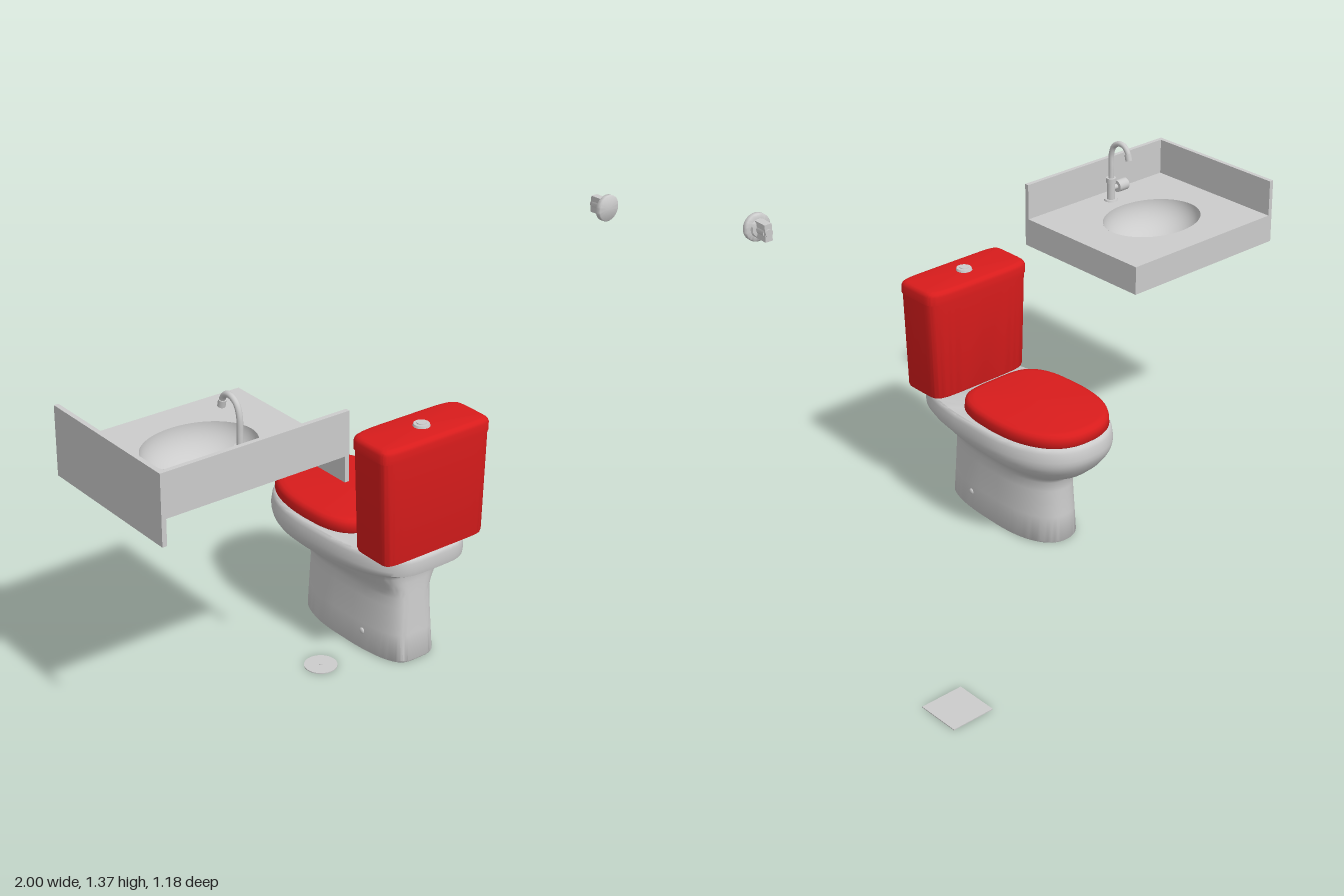
import * as THREE from 'three';
import { toCreasedNormals } from 'three/addons/utils/BufferGeometryUtils.js';

const grey = new THREE.MeshStandardMaterial({ color: 0xcccccc });
const greyThin = new THREE.MeshStandardMaterial({ color: 0xcccccc, side: THREE.DoubleSide });
const red = new THREE.MeshStandardMaterial({ color: 0xd91c1c });

function add(parent, name, geometry, material, x = 0, y = 0, z = 0) {
  const mesh = new THREE.Mesh(geometry, material);
  mesh.name = name;
  mesh.position.set(x, y, z);
  parent.add(mesh);
  return mesh;
}

// Solid lofted through horizontal sections [y, halfWidth, zFront, zBack].
// Each section is a superellipse with its own front and back squareness; the back narrows by taper.
function loft(sections, { mid = 0.4, nFront = 2.3, nBack = 4, taper = 0.15, crease = 0.7, n = 72 }) {
  const pos = [], idx = [];
  const pow = (v, e) => Math.sign(v) * Math.pow(Math.abs(v), 2 / e);
  for (const [y, w, zf, zb] of sections) {
    const zc = zf + (zb - zf) * mid;
    for (let j = 0; j < n; j++) {
      const t = (j / n) * Math.PI * 2, s = Math.sin(t), e = s < 0 ? nFront : nBack;
      const v = Math.abs(s) < 1e-9 ? 0 : pow(s, e);
      const c = Math.abs(Math.cos(t)) < 1e-9 ? 0 : pow(Math.cos(t), e);
      pos.push(w * c * (v > 0 ? 1 - taper * v * v : 1), y, zc + v * (v < 0 ? zc - zf : zb - zc));
    }
  }
  const last = sections.length - 1;
  for (let i = 0; i < last; i++) {
    for (let j = 0; j < n; j++) {
      const a = i * n + j, b = i * n + (j + 1) % n;
      idx.push(a, a + n, b, b, a + n, b + n);
    }
  }
  // Flat caps
  for (const i of [0, last]) {
    const [y, , zf, zb] = sections[i], centre = pos.length / 3;
    pos.push(0, y, zf + (zb - zf) * mid);
    for (let j = 0; j < n; j++) {
      const a = i * n + j, b = i * n + (j + 1) % n;
      if (i === 0) idx.push(centre, a, b); else idx.push(centre, b, a);
    }
  }
  const g = new THREE.BufferGeometry();
  g.setAttribute('position', new THREE.Float32BufferAttribute(pos, 3));
  g.setIndex(idx);
  return toCreasedNormals(g, crease);
}

function createToilet() {
  const g = new THREE.Group();
  g.name = 'toilet';
  g.position.x = 0.033;

  // Pedestal flaring into the bowl and rear shelf
  add(g, 'bowl', loft([
    [0, 0.116, -0.026, 0.507], [0.006, 0.12, -0.03, 0.511], [0.1, 0.116, -0.024, 0.504],
    [0.2, 0.112, -0.017, 0.497], [0.235, 0.113, -0.018, 0.495], [0.25, 0.117, -0.027, 0.494],
    [0.268, 0.129, -0.06, 0.493], [0.29, 0.15, -0.098, 0.492], [0.315, 0.18, -0.126, 0.492],
    [0.335, 0.2, -0.141, 0.497], [0.35, 0.21, -0.15, 0.52], [0.362, 0.217, -0.156, 0.56],
    [0.375, 0.221, -0.16, 0.583], [0.39, 0.222, -0.161, 0.586], [0.42, 0.218, -0.157, 0.586],
    [0.431, 0.214, -0.152, 0.584], [0.436, 0.208, -0.146, 0.578],
  ], { mid: 0.43, nFront: 2.3, nBack: 4.5, taper: 0.2 }), grey);

  // Seat lid
  add(g, 'seatLid', loft([
    [0.436, 0.196, -0.141, 0.35], [0.442, 0.201, -0.146, 0.354], [0.465, 0.2, -0.145, 0.353],
    [0.476, 0.197, -0.141, 0.35], [0.483, 0.188, -0.132, 0.342], [0.486, 0.17, -0.115, 0.325],
  ], { mid: 0.58, nFront: 2.4, nBack: 4.5, taper: 0.16, crease: 0.9 }), red);
  for (const s of [-1, 1]) {
    const hinge = add(g, 'seatHinge', new THREE.CylinderGeometry(0.011, 0.011, 0.03, 16), red, s * 0.085, 0.448, 0.348);
    hinge.rotation.z = Math.PI / 2;
    // Floor fixing cap on each side of the pedestal
    const cap = add(g, 'fixingCap', new THREE.SphereGeometry(0.011, 16, 10), grey, s * 0.111, 0.07, 0.35);
    cap.scale.x = 0.5;
  }

  // Cistern and its lid
  const box = { mid: 0.5, nFront: 6, nBack: 9, taper: 0, crease: 0.6 };
  add(g, 'cistern', loft([
    [0.437, 0.196, 0.414, 0.578], [0.441, 0.201, 0.408, 0.584], [0.45, 0.204, 0.405, 0.586],
    [0.802, 0.216, 0.402, 0.587],
  ], box), red);
  add(g, 'cisternLid', loft([
    [0.802, 0.219, 0.399, 0.589], [0.83, 0.219, 0.399, 0.589], [0.839, 0.216, 0.402, 0.586],
    [0.845, 0.209, 0.409, 0.579], [0.847, 0.2, 0.418, 0.57],
  ], box), red);
  add(g, 'flushButton', new THREE.CylinderGeometry(0.026, 0.029, 0.01, 32), grey, 0, 0.85, 0.497);
  add(g, 'flushButtonCentre', new THREE.CylinderGeometry(0.015, 0.016, 0.004, 24), grey, 0, 0.856, 0.497);
  return g;
}

function createSink() {
  const g = new THREE.Group();
  g.name = 'sink';
  const x0 = -1, x1 = -0.328, z0 = 0.022, z1 = 0.588, t = 0.016;
  const cx = -0.663, cz = 0.288, rx = 0.192, rz = 0.152, top = 0.905;

  // Worktop with an oval opening
  const slab = new THREE.Shape([[x0, z0], [x1, z0], [x1, z1], [x0, z1]].map(p => new THREE.Vector2(...p)));
  slab.holes.push(new THREE.Path().absellipse(cx, cz, rx, rz, 0, Math.PI * 2, true));
  const slabGeo = new THREE.ExtrudeGeometry(slab, { depth: t, bevelEnabled: false, curveSegments: 48 });
  add(g, 'worktop', slabGeo.rotateX(Math.PI / 2), grey, 0, top, 0);

  // Splashbacks above the worktop and aprons below it
  const panel = (name, xa, xb, ya, yb, za, zb) => add(g, name,
    new THREE.BoxGeometry(xb - xa, yb - ya, zb - za), grey, (xa + xb) / 2, (ya + yb) / 2, (za + zb) / 2);
  panel('rearSplash', x0, x1, top, 1.036, z1 - t, z1);
  panel('sideSplash', x0, x0 + t, top, 1.036, z0, z1 - t);
  panel('frontApron', x0, x1, 0.802, top - t, z0, z0 + t);
  panel('sideApron', x0, x0 + t, 0.802, top - t, z0 + t, z1);
  panel('sideApron', x1 - t, x1, 0.802, top - t, z0 + t, z1);

  // Basin and waste
  const basin = new THREE.SphereGeometry(1, 64, 24, 0, Math.PI * 2, Math.PI / 2, Math.PI / 2);
  add(g, 'basin', basin.scale(rx, 0.13, rz), greyThin, cx, top, cz);
  const ring = new THREE.TorusGeometry(0.03, 0.008, 10, 36).rotateX(Math.PI / 2).scale(1, 0.5, 1);
  add(g, 'wasteRing', ring, grey, cx, 0.779, cz);
  add(g, 'wastePlug', new THREE.CylinderGeometry(0.016, 0.016, 0.012, 24), grey, cx, 0.778, cz);
  add(g, 'wasteCollar', new THREE.CylinderGeometry(0.034, 0.034, 0.01, 32), grey, cx, 0.772, cz);
  add(g, 'wasteOutlet', new THREE.CylinderGeometry(0.02, 0.02, 0.016, 24), grey, cx, 0.766, cz);

  // Gooseneck tap with a side handle
  const fx = -0.667, fz = 0.505;
  add(g, 'tapBase', new THREE.CylinderGeometry(0.023, 0.025, 0.006, 32), grey, fx, top + 0.003, fz);
  add(g, 'tapBody', new THREE.CylinderGeometry(0.015, 0.015, 0.07, 28), grey, fx, 0.94, fz);
  add(g, 'tapCollar', new THREE.CylinderGeometry(0.018, 0.018, 0.018, 28), grey, fx, 0.983, fz);
  const path = new THREE.CatmullRomCurve3([
    [0.97, 0.505], [1.03, 0.505], [1.085, 0.504], [1.118, 0.491], [1.134, 0.463], [1.13, 0.437], [1.11, 0.42], [1.095, 0.416],
  ].map(([y, z]) => new THREE.Vector3(fx, y, z)));
  add(g, 'tapSpout', new THREE.TubeGeometry(path, 48, 0.01, 16), grey);
  const nozzle = add(g, 'tapNozzle', new THREE.CylinderGeometry(0.0125, 0.0125, 0.024, 24), grey, fx, 1.096, 0.417);
  nozzle.rotation.x = 0.25;
  const rod = (name, r, xa, xb) => {
    add(g, name, new THREE.CylinderGeometry(r, r, xb - xa, 28), grey, (xa + xb) / 2, 0.953, fz - 0.004)
      .rotation.z = Math.PI / 2;
  };
  rod('tapHandleStem', 0.01, -0.695, fx);
  rod('tapHandle', 0.022, -0.735, -0.69);
  return g;
}

// Wall valve: flange, neck and gripped knob
function createValve() {
  const g = new THREE.Group();
  g.name = 'wallValve';
  g.position.set(0.95, 1.323, 0);
  const profile = [[0, 0.361], [0.042, 0.361], [0.045, 0.358], [0.045, 0.344], [0.042, 0.341], [0.029, 0.34], [0.027, 0.332], [0.016, 0.33], [0.016, 0.295], [0, 0.294]];
  const body = new THREE.LatheGeometry(profile.reverse().map(p => new THREE.Vector2(...p)), 40);
  add(g, 'flange', toCreasedNormals(body.rotateX(Math.PI / 2), 0.9), greyThin);
  add(g, 'knob', new THREE.BoxGeometry(0.026, 0.056, 0.05), grey, 0, 0, 0.313);
  const hub = add(g, 'knobCap', new THREE.CylinderGeometry(0.013, 0.013, 0.008, 24), grey, 0, 0, 0.288);
  hub.rotation.x = Math.PI / 2;
  return g;
}

export function createModel() {
  const model = new THREE.Group();
  model.name = 'bathroomSet';
  model.add(createToilet(), createSink(), createValve());

  // Floor drains
  add(model, 'roundDrain', new THREE.CylinderGeometry(0.055, 0.055, 0.003, 40), grey, -0.247, 0.0015, 0.346);
  add(model, 'roundDrainCentre', new THREE.CylinderGeometry(0.006, 0.006, 0.002, 16), grey, -0.247, 0.0035, 0.346);
  add(model, 'squareDrain', new THREE.BoxGeometry(0.152, 0.003, 0.152), grey, 0.922, 0.0015, -0.513);
  return model;
}
